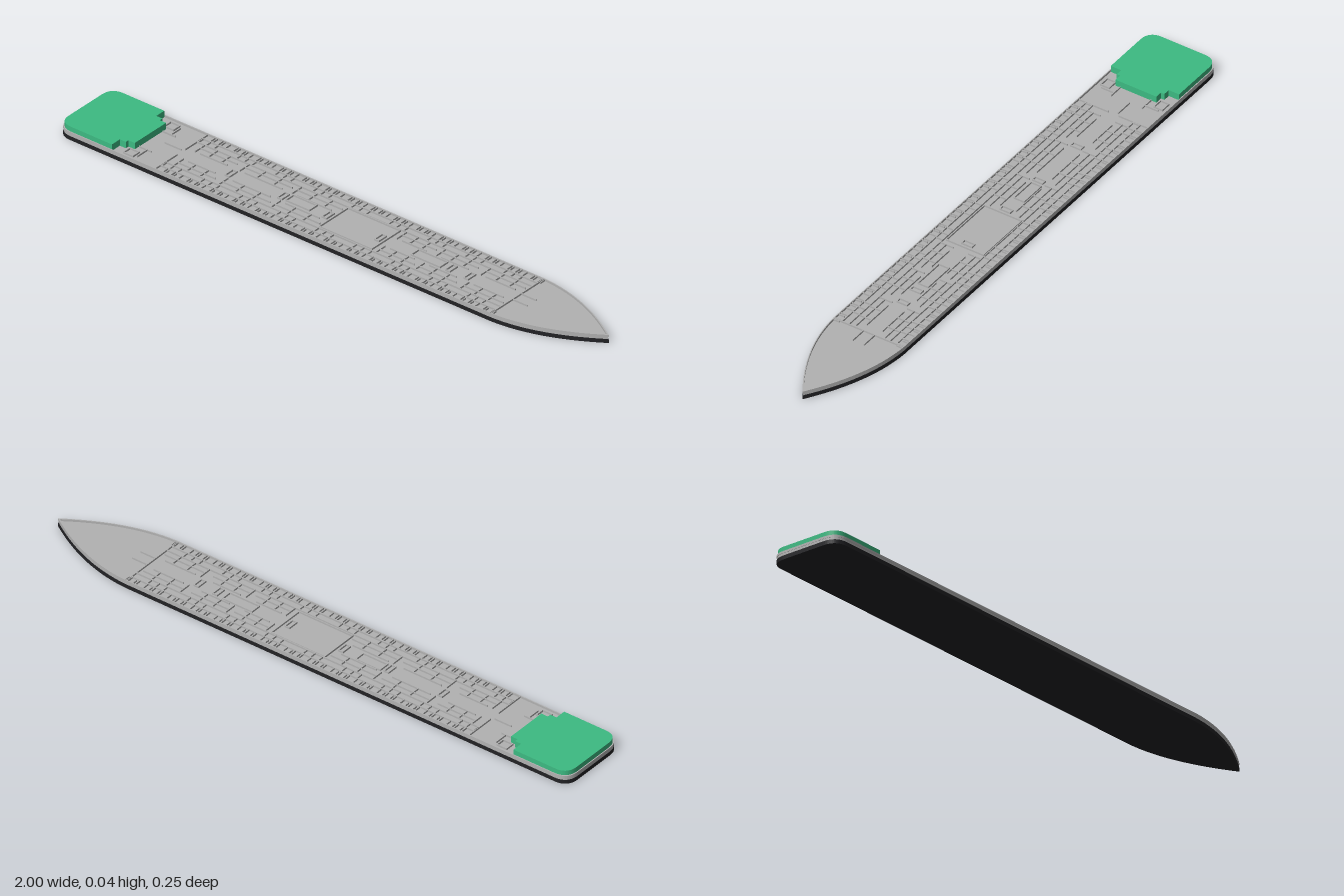
import * as THREE from 'three';

const material = (name, color) => {
  const m = new THREE.MeshStandardMaterial({ color });
  m.name = name;
  return m;
};

// Ship plan: rounded stern at -x, pointed bow at +x
function plan(inset, Type = THREE.Shape) {
  const w = 0.126 - inset, s = -1 + inset, b = 1 - inset * 2.5, r = 0.05;
  const p = new Type();
  p.moveTo(s + r, -w);
  p.lineTo(0.65, -w);
  p.quadraticCurveTo(0.82, -0.12 + inset, b, 0);
  p.quadraticCurveTo(0.82, 0.12 - inset, 0.65, w);
  p.lineTo(s + r, w);
  p.quadraticCurveTo(s, w, s, w - r);
  p.lineTo(s, -w + r);
  p.quadraticCurveTo(s, -w, s + r, -w);
  return p;
}

export function createModel() {
  const black = material('hull black', 0x222225);
  const grey = material('deck grey', 0xb2b2b2);
  const green = material('roof green', 0x3dba82);
  const ship = new THREE.Group();
  ship.name = 'ship';

  const slab = (name, shape, y0, y1, mat) => {
    const g = new THREE.ExtrudeGeometry(shape, { depth: y1 - y0, bevelEnabled: false, curveSegments: 14 });
    g.rotateX(-Math.PI / 2);
    const mesh = new THREE.Mesh(g, mat);
    mesh.position.y = y0;
    mesh.name = name;
    ship.add(mesh);
  };

  // Hull, deck and surrounding bulwark
  slab('lowerHull', plan(0), 0, 0.013, black);
  slab('upperHull', plan(0.001), 0.013, 0.021, grey);
  const rim = plan(0);
  rim.holes.push(plan(0.003, THREE.Path));
  slab('bulwark', rim, 0.021, 0.028, grey);

  // Stepped roof over the stern
  const roof = new THREE.Shape();
  const w = 0.122, s = -0.996, r = 0.046;
  roof.moveTo(s + r, -w);
  [[-0.795, -w], [-0.795, -0.085], [-0.772, -0.085], [-0.772, -0.073], [-0.748, -0.073],
    [-0.748, 0.073], [-0.772, 0.073], [-0.772, 0.085], [-0.795, 0.085], [-0.795, w], [s + r, w]]
    .forEach(([x, z]) => roof.lineTo(x, z));
  roof.quadraticCurveTo(s, w, s, w - r);
  roof.lineTo(s, -w + r);
  roof.quadraticCurveTo(s, -w, s + r, -w);
  slab('sternRoof', roof, 0.022, 0.044, green);

  // Low partition walls on the deck
  const walls = new THREE.Group();
  walls.name = 'partitionWalls';
  ship.add(walls);
  const T = 0.0025, H = 0.006;
  const wall = (x0, z0, x1, z1) => {
    const m = new THREE.Mesh(new THREE.BoxGeometry(Math.abs(x1 - x0) + T, H, Math.abs(z1 - z0) + T), grey);
    m.position.set((x0 + x1) / 2, 0.021 + H / 2, (z0 + z1) / 2);
    m.name = 'wall';
    walls.add(m);
  };
  const room = (x0, z0, x1, z1) => {
    wall(x0, z0, x1, z0);
    wall(x0, z1, x1, z1);
    wall(x0, z0, x0, z1);
    wall(x1, z0, x1, z1);
  };

  for (const k of [-1, 1]) {
    // Side cabins: corridor walls and paired cross walls
    wall(-0.63, k * 0.097, 0.65, k * 0.097);
    wall(-0.63, k * 0.073, 0.65, k * 0.073);
    for (let i = 0; i <= 44; i++) {
      const x = -0.63 + i * 0.029;
      wall(x, k * 0.097, x, k * 0.123);
      if (i % 3) wall(x + 0.009, k * 0.104, x + 0.009, k * 0.123);
      if (i % 5 < 3) wall(x + 0.004, k * 0.073, x + 0.004, k * 0.097);
    }
    // Inner corridor walls and cross walls of the service rooms
    for (const [a, b] of [[-0.6, -0.46], [-0.43, -0.25], [-0.23, -0.06], [0.17, 0.3], [0.32, 0.46], [0.49, 0.64]]) {
      wall(a, k * 0.052, b, k * 0.052);
      wall(a + 0.02, k * 0.028, b - 0.02, k * 0.028);
      for (const t of [0, 0.35, 0.7]) {
        const x = a + (b - a) * t;
        wall(x, k * 0.028, x, k * 0.073);
      }
    }
    // Stairs and lobby near the stern
    room(-0.76, k * 0.08, -0.725, k * 0.11);
    wall(-0.745, k * 0.055, -0.7, k * 0.055);
    wall(-0.715, k * 0.055, -0.715, k * 0.1);
    // Short walls ahead of the cabins
    wall(0.65, k * 0.02, 0.705, k * 0.02);
  }

  // Large hall, central rooms and stair blocks
  room(-0.05, -0.068, 0.15, 0.065);
  wall(0.65, -0.123, 0.65, 0.123);
  wall(-0.63, -0.123, -0.63, -0.02);
  wall(-0.63, 0.02, -0.63, 0.123);
  for (const x of [-0.44, -0.24, -0.07, 0.13, 0.4, 0.47]) room(x - 0.008, -0.018, x + 0.008, 0.018);
  room(-0.22, -0.022, -0.13, 0.014);
  room(0.26, -0.02, 0.37, 0.016);
  wall(-0.7, -0.01, -0.64, -0.01);

  return ship;
}
